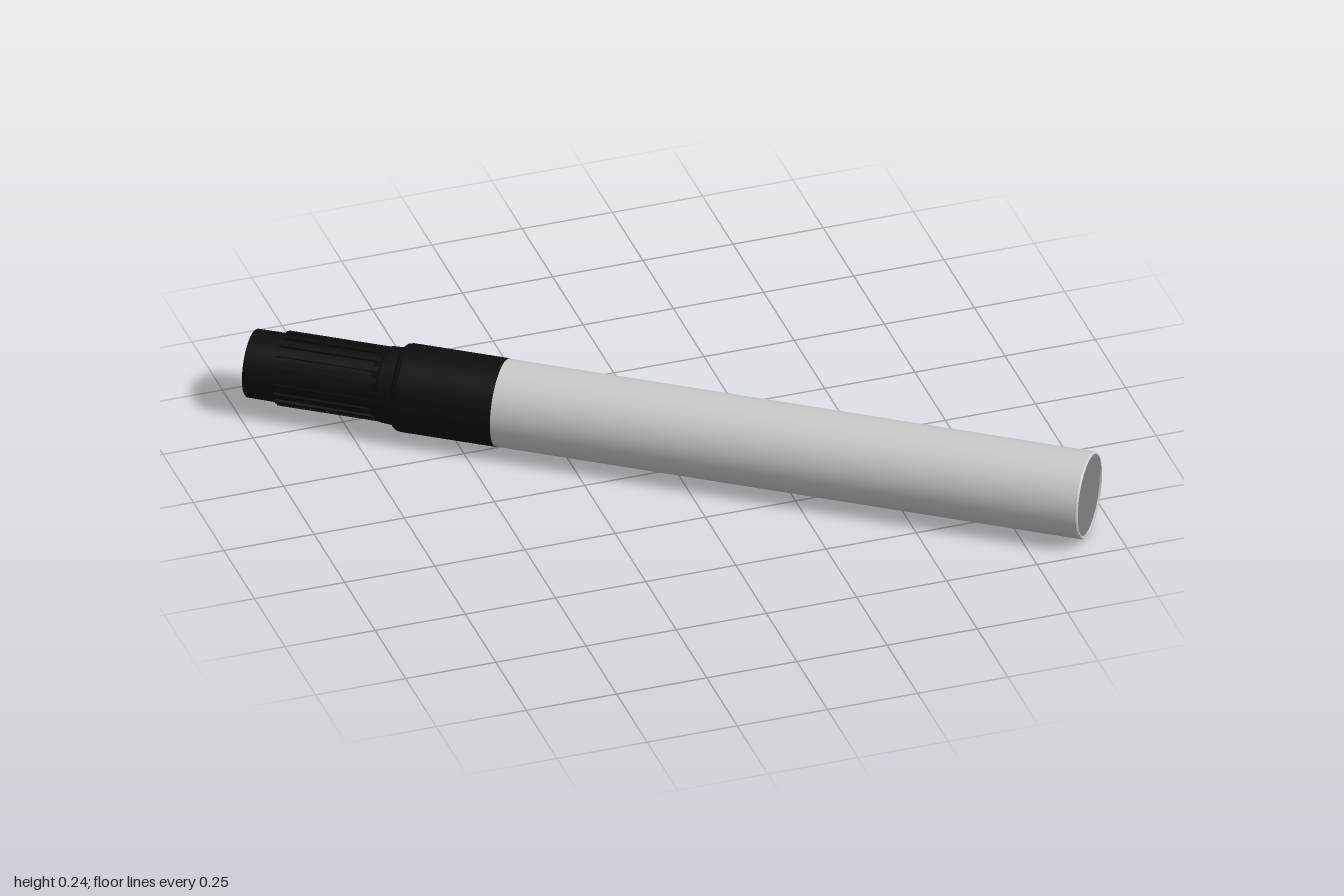
import * as THREE from 'three';
import { mergeGeometries } from 'three/addons/utils/BufferGeometryUtils.js';

const SIDES = 64;

// Turned part with crisp edges: each profile step [radius, height] is its own band, listed bottom to top.
function turned(name, profile, material) {
  const bands = [];
  for (let i = 0; i < profile.length - 1; i++) {
    const pair = [profile[i], profile[i + 1]].map(([r, y]) => new THREE.Vector2(r, y));
    bands.push(new THREE.LatheGeometry(pair, SIDES));
  }
  const mesh = new THREE.Mesh(mergeGeometries(bands), material);
  mesh.name = name;
  return mesh;
}

export function createModel() {
  const barrelGrey = new THREE.MeshStandardMaterial({ color: 0xcccccc });
  barrelGrey.name = 'light grey barrel';
  const plugGrey = new THREE.MeshStandardMaterial({ color: 0x808080 });
  plugGrey.name = 'mid grey plug';
  const capBlack = new THREE.MeshStandardMaterial({ color: 0x0d0d0d });
  capBlack.name = 'black cap';

  // The pen is built along y, cap end at the bottom, then laid down
  const pen = new THREE.Group();
  pen.name = 'markerPen';

  // Barrel with a thin rim around the recessed end plug
  pen.add(turned('barrel', [
    [0.117, -0.461], [0.117, 1.144], [0.114, 1.148], [0.110, 1.148], [0.110, 1.142],
  ], barrelGrey));
  const plug = new THREE.Mesh(new THREE.CircleGeometry(0.111, SIDES), plugGrey);
  plug.name = 'endPlug';
  plug.rotation.x = -Math.PI / 2;
  plug.position.y = 1.143;
  pen.add(plug);

  // Wide collar of the cap, closed at both ends
  pen.add(turned('capCollar', [
    [0.09, -0.737], [0.111, -0.737], [0.116, -0.731], [0.118, -0.72],
    [0.118, -0.461], [0.115, -0.459],
  ], capBlack));

  // Narrow cap grip with a shallow dished end and a flare at the collar
  pen.add(turned('capGrip', [
    [0, -1.138], [0.06, -1.138], [0.065, -1.148], [0.088, -1.148], [0.0915, -1.144],
    [0.094, -0.80], [0.102, -0.775], [0.104, -0.73],
  ], capBlack));

  // Grip ribs around the narrow part
  const ribs = new THREE.Group();
  ribs.name = 'gripRibs';
  const ribGeometry = new THREE.BoxGeometry(0.014, 0.32, 0.014);
  const ribCount = 20;
  for (let i = 0; i < ribCount; i++) {
    const a = (i / ribCount) * Math.PI * 2;
    const rib = new THREE.Mesh(ribGeometry, capBlack);
    rib.name = 'gripRib';
    rib.position.set(Math.sin(a) * 0.0925, -0.90, Math.cos(a) * 0.0925);
    rib.rotation.y = a;
    ribs.add(rib);
  }
  pen.add(ribs);

  // Lay the pen flat, turned diagonally
  pen.rotation.set(0, -0.615, -Math.PI / 2);
  pen.position.set(-0.0075, 0.118, -0.0125);

  const model = new THREE.Group();
  model.name = 'marker';
  model.add(pen);
  return model;
}
